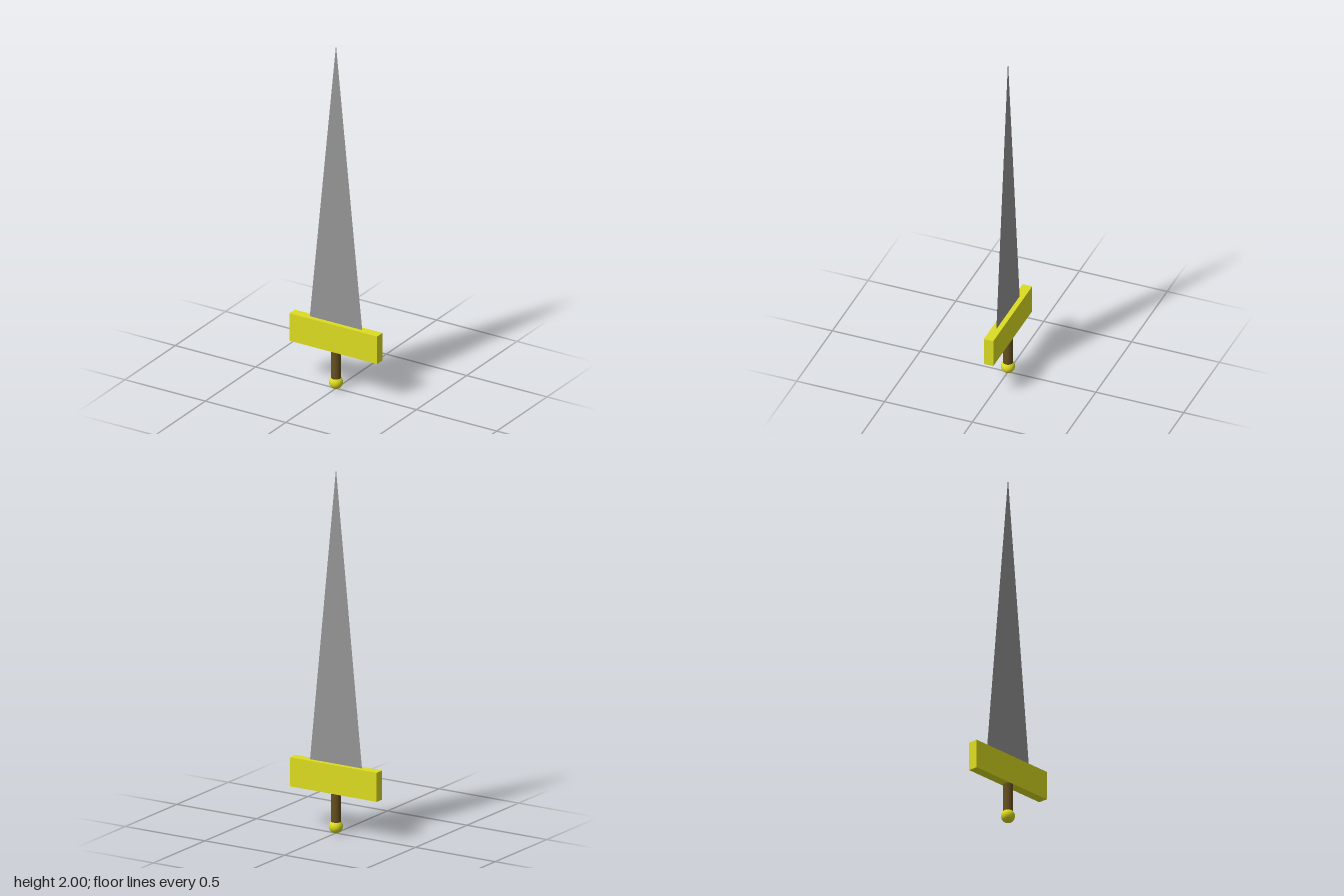
import * as THREE from 'three';

export function createModel() {
  const group = new THREE.Group();
  const gold = new THREE.MeshStandardMaterial({ color: 0xdddd22 });
  const brown = new THREE.MeshStandardMaterial({ color: 0x66501f });
  const steel = new THREE.MeshStandardMaterial({ color: 0x959595, side: THREE.DoubleSide });

  const add = (name, geometry, material, y) => {
    const mesh = new THREE.Mesh(geometry, material);
    mesh.name = name;
    mesh.position.y = y;
    group.add(mesh);
  };

  // Thin flat blade, tapering straight to a point
  const outline = new THREE.Shape([
    new THREE.Vector2(-0.163, 0),
    new THREE.Vector2(0.163, 0),
    new THREE.Vector2(0, 1.62),
  ]);
  add('blade', new THREE.ShapeGeometry(outline), steel, 0.38);

  // Crossguard
  add('guard', new THREE.BoxGeometry(0.546, 0.16, 0.054), gold, 0.3);

  // Grip, running from the pommel to the guard
  add('grip', new THREE.CylinderGeometry(0.027, 0.027, 0.18, 24), brown, 0.13);

  // Round pommel
  add('pommel', new THREE.SphereGeometry(0.0375, 32, 16), gold, 0.0375);

  return group;
}
